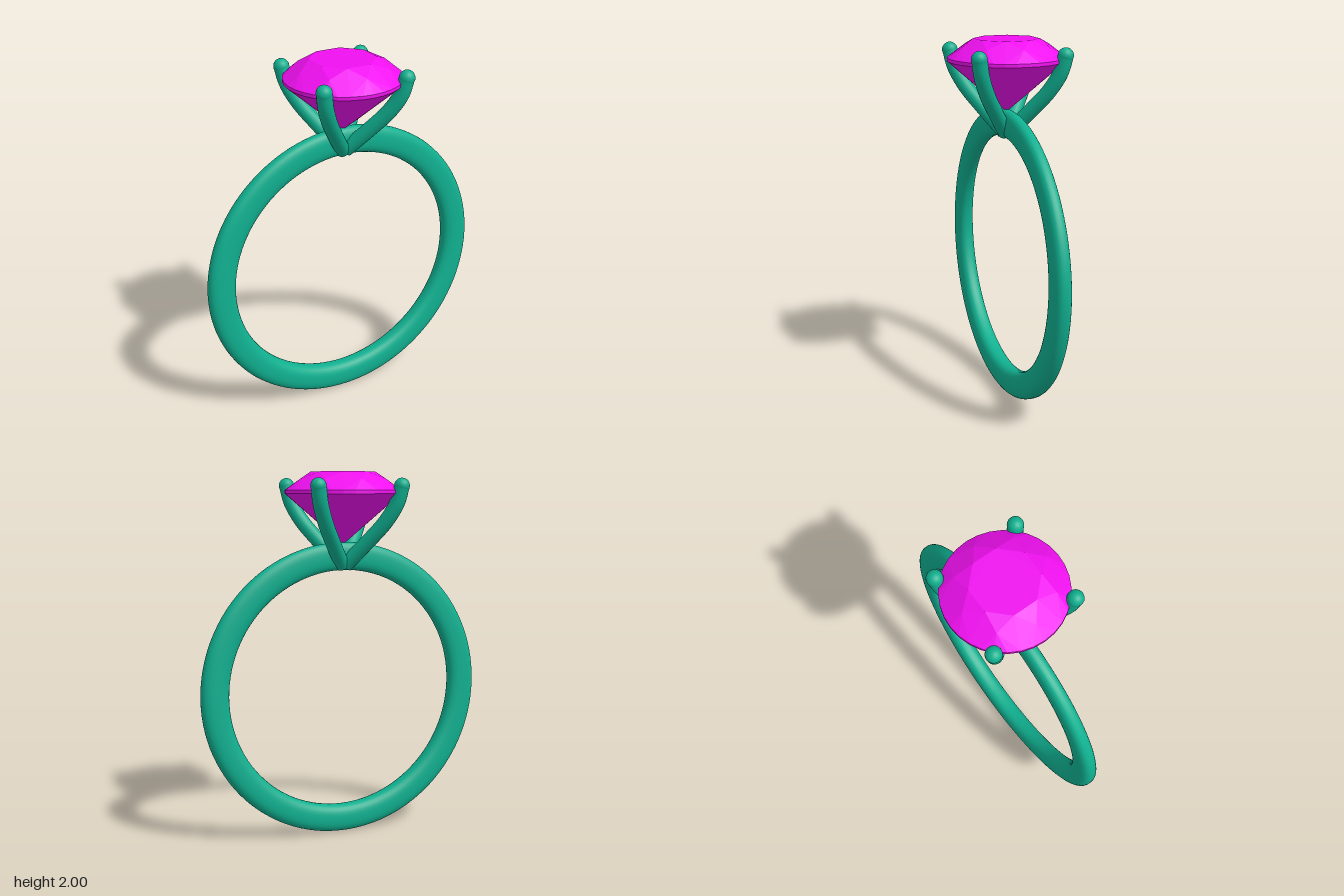
import * as THREE from 'three';
import { mergeVertices } from 'three/addons/utils/BufferGeometryUtils.js';
import { ConvexGeometry } from 'three/addons/geometries/ConvexGeometry.js';

const metal = new THREE.MeshStandardMaterial({ color: 0x10b090 });
const gem = new THREE.MeshStandardMaterial({ color: 0xf010f0, flatShading: true });

function part(name, geometry, material) {
  const mesh = new THREE.Mesh(geometry, material);
  mesh.name = name;
  return mesh;
}

// Band: a torus with a squarish section that narrows towards the top
function bandGeometry() {
  const R = 0.736, tube = 0.076;
  let geo = new THREE.TorusGeometry(R, tube, 28, 112);
  geo.deleteAttribute('uv');
  geo.deleteAttribute('normal');
  const pos = geo.attributes.position;
  const soften = v => Math.sign(v) * Math.pow(Math.abs(v), 0.8);
  for (let i = 0; i < pos.count; i++) {
    const x = pos.getX(i), y = pos.getY(i), r = Math.hypot(x, y);
    const newR = R + tube * soften((r - R) / tube);
    const halfWidth = THREE.MathUtils.mapLinear(y / r, -1, 1, 0.056, 0.042);
    pos.setXYZ(i, x / r * newR, y / r * newR, halfWidth * soften(pos.getZ(i) / tube));
  }
  geo = mergeVertices(geo, 1e-5);
  geo.computeVertexNormals();
  return geo.translate(0, 0.812, 0);
}

// Brilliant-cut stone: the hull of its rings of corners
function gemGeometry() {
  const points = [new THREE.Vector3(0, 1.61, 0)];
  const ring = (count, radius, y, turn = 0) => {
    for (let i = 0; i < count; i++) {
      const a = (i + turn) / count * Math.PI * 2;
      points.push(new THREE.Vector3(radius * Math.cos(a), y, radius * Math.sin(a)));
    }
  };
  ring(8, 0.175, 2.0, 0.5);   // table
  ring(8, 0.245, 1.962);      // star points
  ring(32, 0.315, 1.902);     // girdle
  ring(32, 0.315, 1.884);
  ring(8, 0.09, 1.685);       // pavilion
  return new ConvexGeometry(points);
}

// One prong, curving out along a diagonal from the band to the stone's edge
function prong(sx, sz) {
  const group = new THREE.Group();
  const radius = 0.041;
  const path = new THREE.CatmullRomCurve3(
    [[0.01, 1.5], [0.1, 1.625], [0.173, 1.735], [0.218, 1.835], [0.237, 1.925]]
      .map(([d, y]) => new THREE.Vector3(sx * d, y, sz * d)));
  group.add(part('prongStem', new THREE.TubeGeometry(path, 32, radius, 20), metal));

  const tip = part('prongTip', new THREE.SphereGeometry(radius + 0.001, 20, 14), metal);
  tip.position.copy(path.getPoint(1));
  group.add(tip);

  // Flat lower end
  const foot = part('prongFoot', new THREE.CircleGeometry(radius, 20), metal);
  foot.position.copy(path.getPoint(0));
  foot.quaternion.setFromUnitVectors(new THREE.Vector3(0, 0, 1), path.getTangent(0).negate());
  group.add(foot);
  return group;
}

export function createModel() {
  const model = new THREE.Group();
  model.name = 'gemRing';
  model.add(part('band', bandGeometry(), metal));
  model.add(part('gemstone', gemGeometry(), gem));
  for (const [name, sx, sz] of [
    ['frontLeftProng', 1, 1], ['frontRightProng', -1, 1],
    ['backLeftProng', 1, -1], ['backRightProng', -1, -1],
  ]) {
    const p = prong(sx, sz);
    p.name = name;
    model.add(p);
  }
  return model;
}
